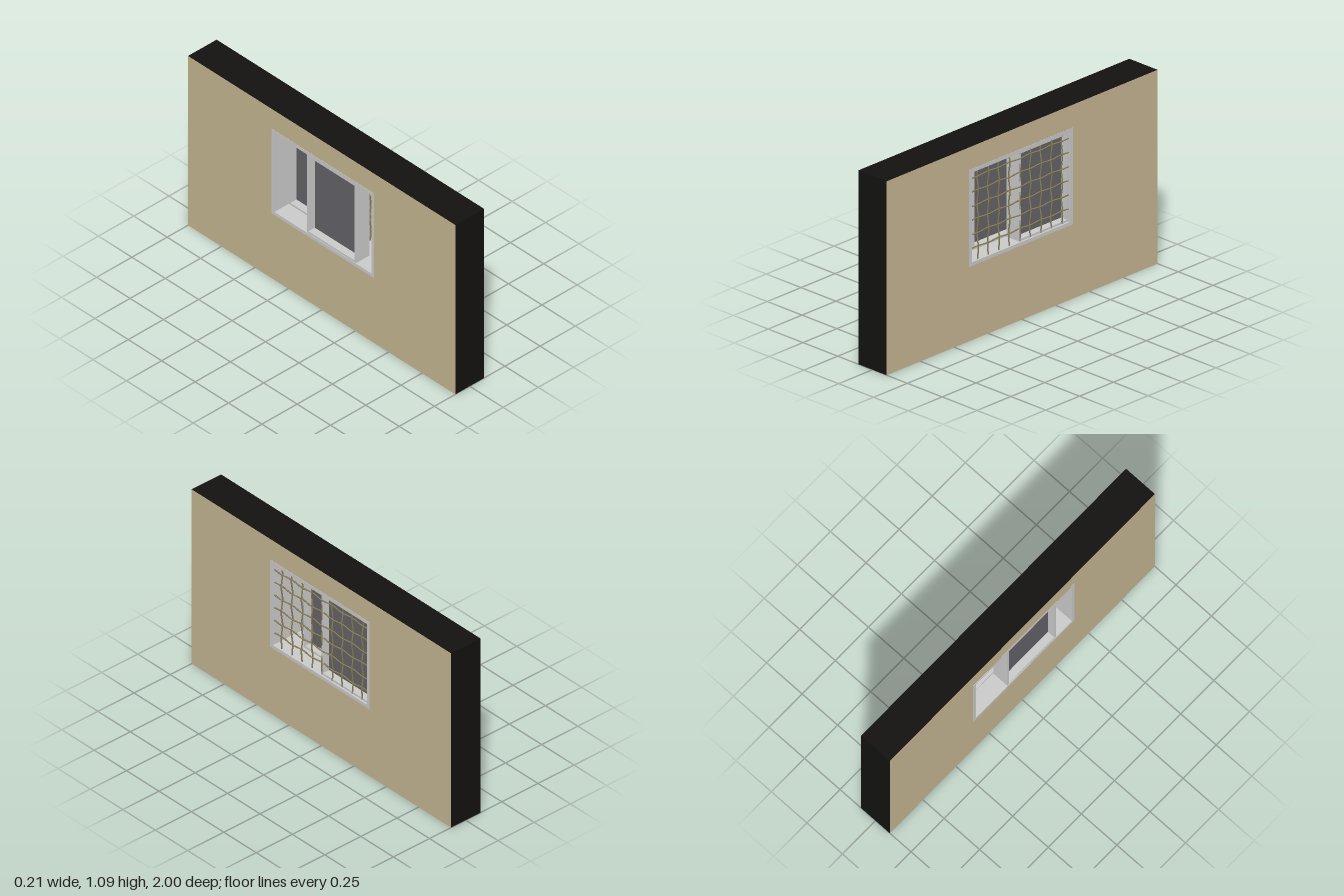
import * as THREE from 'three';

const mat = (color) => new THREE.MeshStandardMaterial({ color });

export function createModel() {
  const model = new THREE.Group();
  const plaster = mat(0xc7b793), cutEdge = mat(0x131210);
  const frameGrey = mat(0xcccccc), glassGrey = mat(0x646369), rodOlive = mat(0x8c8055);

  const add = (parent, name, geometry, material) => {
    const mesh = new THREE.Mesh(geometry, material);
    mesh.name = name;
    parent.add(mesh);
    return mesh;
  };

  // Rectangle as [z0, z1, y0, y1]
  const trace = (path, [z0, z1, y0, y1]) => {
    path.moveTo(-z1, y0);
    path.lineTo(-z0, y0);
    path.lineTo(-z0, y1);
    path.lineTo(-z1, y1);
    path.closePath();
    return path;
  };

  // Rectangular ring standing in the z-y plane, running from x0 to x1
  const ring = (outer, inner, x0, x1) => {
    const shape = trace(new THREE.Shape(), outer);
    shape.holes.push(trace(new THREE.Path(), inner));
    const g = new THREE.ExtrudeGeometry(shape, { depth: x1 - x0, bevelEnabled: false });
    return g.rotateY(Math.PI / 2).translate(x0, 0, 0);
  };

  const inset = ([z0, z1, y0, y1], d) => [z0 + d, z1 - d, y0 + d, y1 - d];

  // Wall with plastered faces and dark cut edges
  const casing = [-0.373, 0.393, 0.418, 0.962];
  const opening = inset(casing, 0.02);
  add(model, 'wall', ring([-1, 1, 0, 1.09], inset(casing, 0.004), -0.1015, 0.1015), [plaster, cutEdge]);

  // Window casing lining the opening
  add(model, 'windowCasing', ring(casing, opening, -0.103, 0.103), frameGrey);

  // Two sashes on separate tracks; the inner one is slid partly open
  const addSash = (name, z0, z1, x0, x1) => {
    const sash = new THREE.Group();
    sash.name = name;
    const outer = [z0, z1, opening[2], opening[3]];
    const inner = inset(outer, 0.012);
    add(sash, 'sashFrame', ring(outer, inner, x0, x1), frameGrey);
    const glass = new THREE.BoxGeometry(0.006, inner[3] - inner[2], inner[1] - inner[0]);
    add(sash, 'glassPane', glass, glassGrey)
      .position.set((x0 + x1) / 2, (inner[2] + inner[3]) / 2, (inner[0] + inner[1]) / 2);
    model.add(sash);
  };
  addSash('fixedSash', opening[0], 0.01, 0.0, 0.092);
  addSash('slidingSash', -0.113, 0.255, -0.1, -0.004);

  // Woven security grille: rods pass alternately in front of and behind each other
  const grille = new THREE.Group();
  grille.name = 'securityGrille';
  model.add(grille);
  const gridX = 0.09, step = 0.0777, rows = 6, columns = 9, wave = 0.0045;
  const rowY = (i) => 0.508 + i * 0.0792;
  const columnZ = (j) => -0.305 + j * step;

  const addRod = (name, points) => {
    const curve = new THREE.CatmullRomCurve3(points);
    add(grille, name, new THREE.TubeGeometry(curve, points.length * 5, 0.004, 6), rodOlive);
  };
  const weave = (i, j) => ((i + j) % 2 ? wave : -wave);

  for (let i = 0; i < rows; i++) {
    const points = [new THREE.Vector3(gridX, rowY(i), opening[0])];
    for (let j = 0; j < columns; j++) points.push(new THREE.Vector3(gridX + weave(i, j), rowY(i), columnZ(j)));
    points.push(new THREE.Vector3(gridX, rowY(i), opening[1]));
    addRod('horizontalRod', points);
  }
  for (let j = 0; j < columns; j++) {
    const points = [new THREE.Vector3(gridX, opening[2], columnZ(j))];
    for (let i = 0; i < rows; i++) points.push(new THREE.Vector3(gridX - weave(i, j), rowY(i), columnZ(j)));
    points.push(new THREE.Vector3(gridX, opening[3], columnZ(j)));
    addRod('verticalRod', points);
  }

  return model;
}
